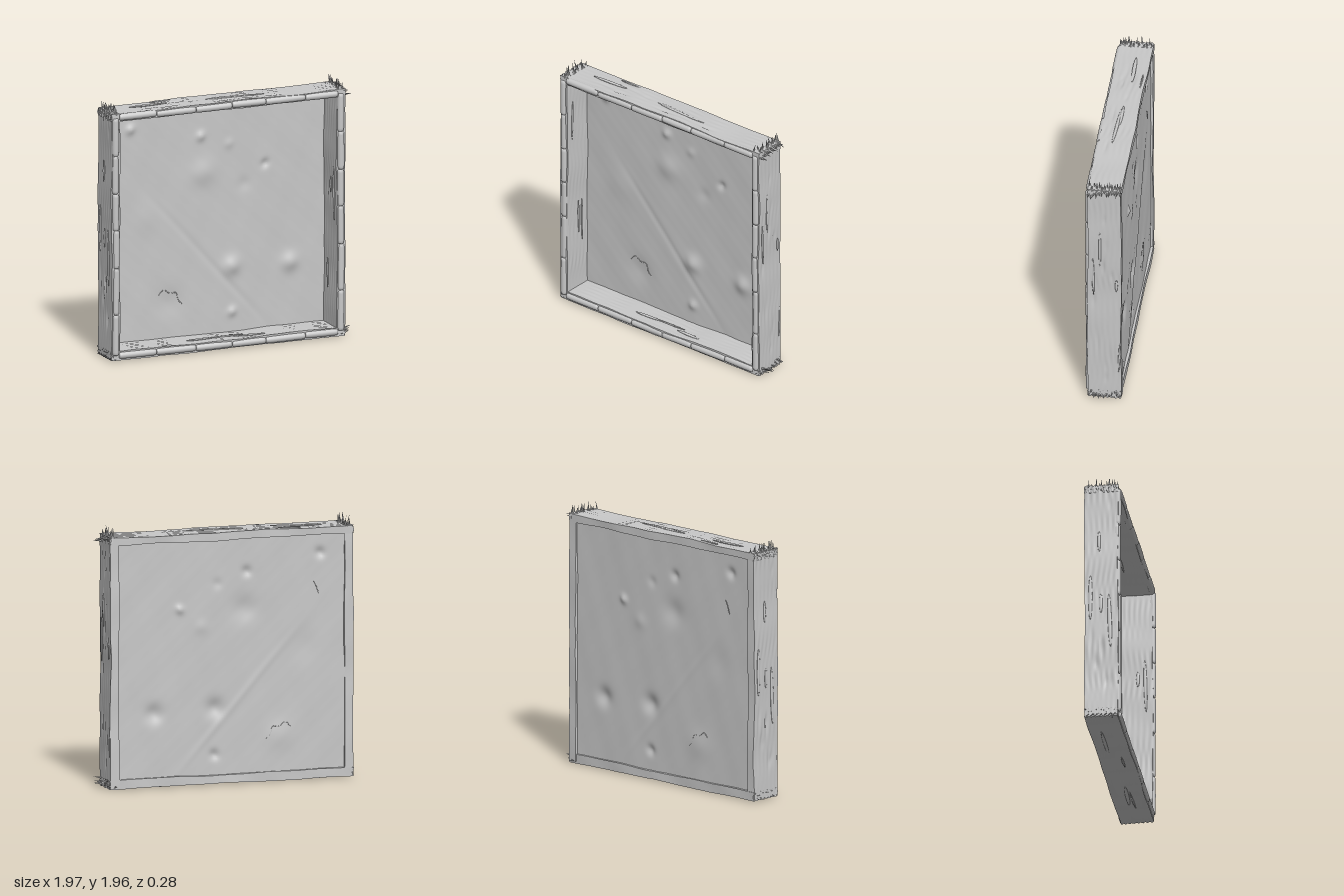
import * as THREE from 'three';

const wood = new THREE.MeshStandardMaterial({ color: 0xc8c8c8, side: THREE.DoubleSide });
wood.name = 'pale grey wood';

const CX = -0.03; // centre of the frame, splinters excluded

// small seeded generator
let seed = 7;
const rand = () => {
  seed = (seed * 16807) % 2147483647;
  return seed / 2147483647;
};
const range = (a, b) => a + (b - a) * rand();

// smooth wobble from layered sines
const wave = (a, b, s) =>
  (Math.sin(a * 5.1 + b * 2.3 + s) + Math.sin(a * 9.7 - b * 4.1 + s * 2.3) * 0.6 +
   Math.sin(a * 17.3 + b * 7.9 + s * 3.7) * 0.3) / 1.9;

function add(parent, geometry, name) {
  const m = new THREE.Mesh(geometry, wood);
  m.name = name;
  parent.add(m);
  return m;
}

// rough board: length along y, outer face towards +x
function board(length, thickness, width, s) {
  const g = new THREE.BoxGeometry(thickness, length, width, 4, 90, 24);
  const gouges = Array.from({ length: 9 }, () =>
    [range(-0.42, 0.42) * length, range(-0.08, 0.08), range(0.03, 0.09), range(0.004, 0.01)]);
  const p = g.attributes.position;
  for (let i = 0; i < p.count; i++) {
    const x = p.getX(i), y = p.getY(i), z = p.getZ(i);
    const side = x / (thickness / 2), edge = z / (width / 2);
    let dx = 0.006 * wave(y, z, s + side) + 0.0025 * Math.sin(z * 150 + wave(y, z, s) * 3) * wave(y * 2, z, s);
    // long narrow gouges on the outer face
    if (side > 0.9) for (const [gy, gz, len, d] of gouges)
      dx -= d * Math.exp(-(((y - gy) / len) ** 2) - ((z - gz) / 0.009) ** 2);
    const end = Math.max(0, Math.abs(y) / (length / 2) - 0.98) / 0.02;
    const dy = Math.sign(y) * end * 0.009 * Math.sin(z * 190 + x * 90 + s);
    p.setXYZ(i, x + dx, y + dy, z + edge * 0.006 * wave(y, x * 3, s + 4 + edge));
  }
  g.computeVertexNormals();
  return g;
}

// row of broken fibres at a board end
function splinters(parent, y, dir, height, thickness, width) {
  for (let i = 0; i < 13; i++) {
    const h = height * range(0.45, 1) + 0.03;
    const g = new THREE.ConeGeometry(range(0.009, 0.015), h, 5).toNonIndexed();
    g.computeVertexNormals();
    const m = add(parent, g, 'splinter');
    m.position.set(range(-0.4, 0.4) * thickness, y + dir * (h / 2 - 0.03), (i / 12 - 0.5) * (width - 0.02));
    m.rotation.set(range(-0.15, 0.15), 0, (dir < 0 ? Math.PI : 0) + range(-0.25, 0.25));
  }
}

// thin strips of torn wood lying on a face of the board
function slivers(parent, length, thickness) {
  for (let i = 0; i < 7; i++) {
    const g = new THREE.SphereGeometry(1, 10, 6);
    g.scale(0.007, range(0.05, 0.22), range(0.006, 0.016));
    const m = add(parent, g, 'sliver');
    const outer = i < 4;
    m.position.set((outer ? 1 : -1) * (thickness / 2 + 0.002), range(-0.35, 0.35) * length,
      outer ? range(-0.12, 0.09) : range(-0.05, 0.1));
    m.rotation.x = range(-0.04, 0.04);
  }
}

// rounded strip pieces along the front edge
function trim(parent, length, cuts) {
  const r = 0.026;
  for (let i = 0; i < cuts.length - 1; i++) {
    const h = (cuts[i + 1] - cuts[i]) * length - 0.002;
    const profile = [[0, -h / 2], [r * 0.7, -h / 2], [r * 0.94, -h / 2 + 0.007], [r, -h / 2 + 0.025],
      [r * 1.03, 0], [r, h / 2 - 0.025], [r * 0.94, h / 2 - 0.007], [r * 0.7, h / 2], [0, h / 2]];
    const m = add(parent, new THREE.LatheGeometry(profile.map(q => new THREE.Vector2(...q)), 16), 'trimPiece');
    m.position.set(range(-0.004, 0.004), ((cuts[i] + cuts[i + 1]) / 2 - 0.5) * length, range(0.114, 0.119));
    m.rotation.z = range(-0.008, 0.008);
  }
}

// wavy back sheet with dents and bumps
function panelGeometry() {
  const bumps = [
    [-0.72, 1.72, 0.035, 0.02], [-0.15, 1.61, 0.035, 0.018], [0.08, 1.53, 0.035, 0.008],
    [-0.14, 1.33, 0.09, 0.018], [0.37, 1.35, 0.03, -0.018], [0.2, 1.21, 0.05, -0.007],
    [0.1, 0.6, 0.065, 0.026], [0.57, 0.58, 0.065, 0.026], [0.1, 0.25, 0.035, 0.018],
    [-0.4, 0.37, 0.1, -0.01], [-0.6, 1.02, 0.12, 0.006]];
  const g = new THREE.PlaneGeometry(1.8, 1.82, 110, 110);
  g.translate(CX, 0.98, 0);
  const p = g.attributes.position;
  for (let i = 0; i < p.count; i++) {
    const x = p.getX(i), y = p.getY(i);
    let z = 0.004 * wave(x, y, 1) + 0.0012 * wave(x * 3 + y, y * 5, 5);
    for (const [bx, by, r, h] of bumps) z += h * Math.exp(-((x - bx) ** 2 + (y - by) ** 2) / (r * r));
    // slanting crease
    const u = (x + 0.08) * 0.75 + (y - 0.65) * 0.66, v = (x + 0.08) * 0.6 - (y - 0.65) * -0.8;
    z -= 0.006 * Math.exp(-((u / 0.02) ** 2) - (v / 0.13) ** 2);
    p.setZ(i, z);
  }
  g.computeVertexNormals();
  return g;
}

export function createModel() {
  const model = new THREE.Group();
  model.name = 'woodenTray';

  const vCuts = [0.015, 0.18, 0.37, 0.525, 0.675, 0.83, 0.985];
  const hCuts = [0.03, 0.19, 0.36, 0.515, 0.66, 0.83, 0.97];
  const flip = c => c.map(t => 1 - t).reverse();

  // name, x, y, turn, length, thickness, trim cuts, splinter height at local +y and -y
  const sides = [
    ['rightPlank', -0.94, 0.98, Math.PI, 1.86, 0.066, flip(vCuts), 0.012, 0.075],
    ['leftPlank', 0.88, 0.98, 0, 1.86, 0.066, vCuts, 0.075, 0.012],
    ['topPlank', CX, 1.885, Math.PI / 2, 1.88, 0.058, flip(hCuts), 0.02, 0.075],
    ['bottomPlank', CX, 0.07, -Math.PI / 2, 1.88, 0.066, hCuts, 0.075, 0.02]];
  sides.forEach(([name, x, y, turn, len, thick, cuts, up, down], i) => {
    const side = new THREE.Group();
    side.name = name;
    side.position.set(x, y, 0);
    side.rotation.z = turn;
    add(side, board(len, thick, 0.25, i * 2.7 + 1), name + 'Board');
    splinters(side, len / 2, 1, up, thick, 0.25);
    splinters(side, -len / 2, -1, down, thick, 0.25);
    slivers(side, len, thick);
    trim(side, len, cuts);
    model.add(side);
  });

  const panel = add(model, panelGeometry(), 'backPanel');
  panel.position.z = -0.108;

  // fine raised cracks in the panel
  const cracks = [
    [[-0.49, 0.43], [-0.45, 0.47], [-0.4, 0.44], [-0.35, 0.44], [-0.33, 0.38], [-0.3, 0.35]],
    [[-0.67, 1.51], [-0.69, 1.47], [-0.71, 1.41]]];
  for (const pts of cracks) {
    const curve = new THREE.CatmullRomCurve3(pts.map(([x, y]) => new THREE.Vector3(x, y, -0.112)));
    add(model, new THREE.TubeGeometry(curve, 20, 0.003, 5), 'crack');
  }
  return model;
}
